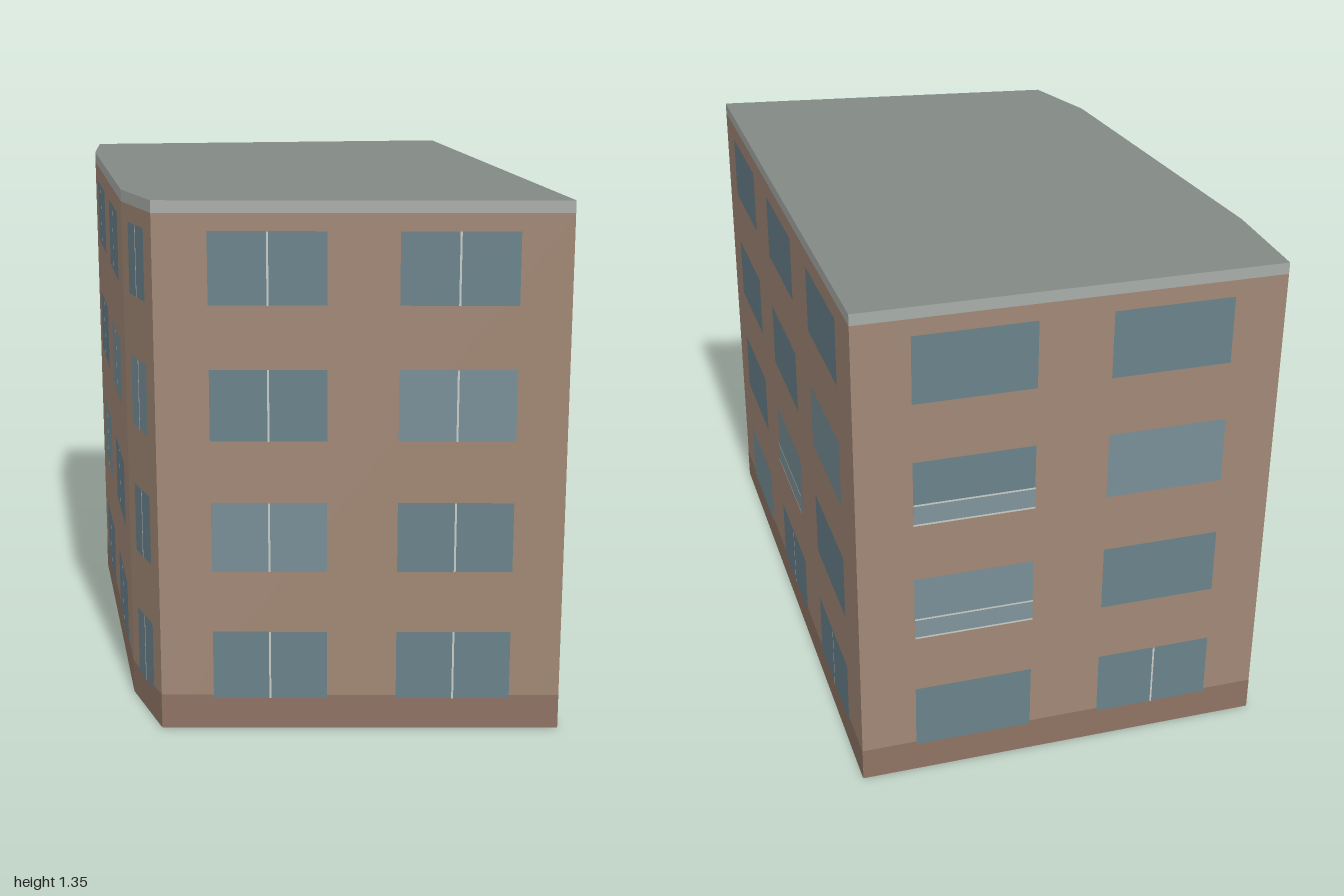
import * as THREE from 'three';

const paint = (color, side = THREE.FrontSide) => {
  const material = new THREE.MeshStandardMaterial({ color });
  material.side = side;
  return material;
};
// The shell is open underneath, so walls, fascia and roof show from both sides
const wallMat = paint(0xa18876, THREE.DoubleSide), fasciaMat = paint(0xa9ada9, THREE.DoubleSide);
const roofMat = paint(0x838a86, THREE.DoubleSide), plinthMat = paint(0x8f7464);
const glassMat = paint(0x6a828b), paleGlassMat = paint(0x788f98);
const frameMat = paint(0xc8ccc6), guardMat = paint(0x80959b);

// Footprint corners (x, z), ordered so each facade runs left to right seen from outside
const corners = [[-0.27, 1], [0.9, -0.235], [0.1, -1], [-0.12, -0.79], [-0.785, 0], [-0.9, 0.215]];
const height = 1.345;

// Horizontal strips of every facade: [name, bottom, top, distance from wall, material]
const strips = [
  ['wall', 0, 1.315, 0, wallMat],
  ['plinth', 0, 0.09, 0.001, plinthMat],
  ['roofFascia', 1.315, height, 0, fasciaMat],
];

// Per facade: window columns, columns with a ground-floor mullion or mullions on all floors, balconies [floor, column]
const facades = [
  { name: 'mainFacade', columns: 3, groundMullions: [1, 2], balconies: [[1, 1]] },
  { name: 'sideFacade', columns: 2, groundMullions: [1], balconies: [[1, 0], [2, 0]] },
  { name: 'rearCornerFacade', columns: 1, allMullions: true },
  { name: 'rearFacade', columns: 2, allMullions: true },
  { name: 'rearBevelFacade', columns: 1, allMullions: true },
  { name: 'endFacade', columns: 2, allMullions: true },
];

// Window centres and width as fractions of the facade, by column count
const layouts = {
  1: { centres: [0.51], width: 0.52 },
  2: { centres: [0.274, 0.732], width: 0.285 },
  3: { centres: [0.184, 0.5, 0.816], width: 0.198 },
};
const sills = [0.082, 0.42, 0.756, 1.093];
const windowHeight = 0.179;

// Flat panel facing outwards; z is its distance from the wall
function panel(name, w, h, x, y, z, material) {
  const mesh = new THREE.Mesh(new THREE.PlaneGeometry(w, h), material);
  mesh.name = name;
  mesh.position.set(x, y, z);
  return mesh;
}

function createRoof() {
  const shape = new THREE.Shape(corners.map(([x, z]) => new THREE.Vector2(x, -z)));
  const roof = new THREE.Mesh(new THREE.ShapeGeometry(shape), roofMat);
  roof.name = 'roof';
  roof.rotation.x = -Math.PI / 2;
  roof.position.y = height;
  return roof;
}

// Low glass guard with a thin rail above and below
function createBalcony(width, x, sill) {
  const balcony = new THREE.Group();
  balcony.name = 'balconyGuard';
  balcony.add(panel('guardPanel', width, 0.058, x, sill + 0.031, 0.004, guardMat));
  for (const y of [sill + 0.004, sill + 0.06]) {
    balcony.add(panel('guardRail', width, 0.005, x, y, 0.006, frameMat));
  }
  return balcony;
}

// Local x runs along the wall and local z points outwards
function createFacade(spec, [x0, z0], [x1, z1]) {
  const facade = new THREE.Group();
  facade.name = spec.name;
  facade.position.set(x0, 0, z0);
  facade.rotation.y = Math.atan2(z0 - z1, x1 - x0);
  const length = Math.hypot(x1 - x0, z1 - z0);
  const { centres, width } = layouts[spec.columns];
  const w = width * length;

  for (const [name, y0, y1, z, material] of strips) {
    facade.add(panel(name, length, y1 - y0, length / 2, (y0 + y1) / 2, z, material));
  }
  sills.forEach((sill, floor) => centres.forEach((centre, column) => {
    const x = centre * length, y = sill + windowHeight / 2;
    const pale = floor - column === 3 - spec.columns;
    facade.add(panel('windowPane', w, windowHeight, x, y, 0.0025, pale ? paleGlassMat : glassMat));
    if (spec.allMullions || (floor === 0 && spec.groundMullions.includes(column))) {
      facade.add(panel('mullion', 0.005, windowHeight, x, y, 0.004, frameMat));
    }
  }));
  for (const [floor, column] of spec.balconies ?? []) {
    facade.add(createBalcony(w, centres[column] * length, sills[floor]));
  }
  return facade;
}

export function createModel() {
  const building = new THREE.Group();
  building.name = 'apartmentBuilding';
  building.add(createRoof());
  facades.forEach((spec, i) => {
    building.add(createFacade(spec, corners[i], corners[(i + 1) % corners.length]));
  });
  return building;
}
